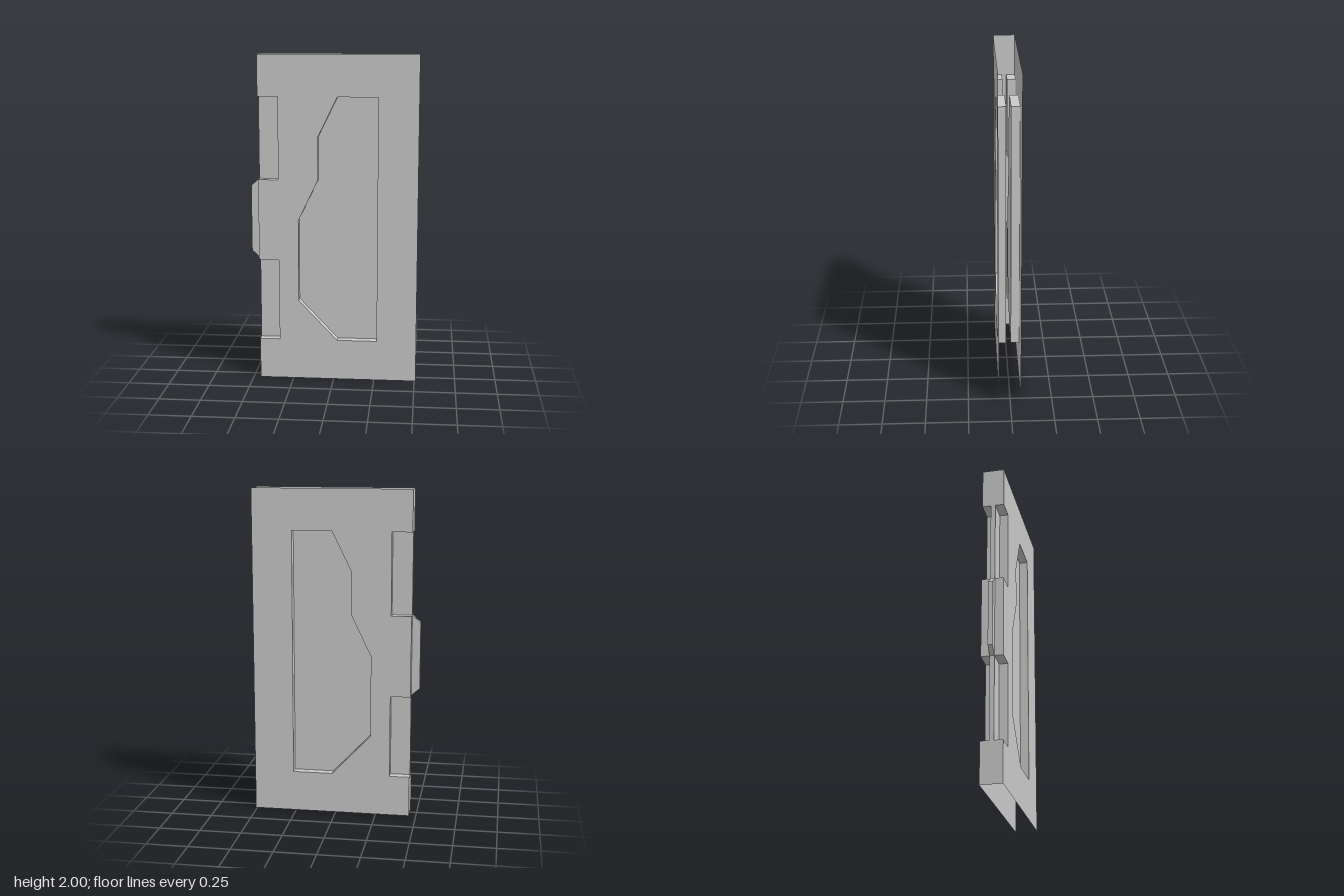
import * as THREE from 'three';

const material = new THREE.MeshStandardMaterial({ color: 0xcccccc, flatShading: true, side: THREE.DoubleSide });

const EDGE = -0.457, FAR = 0.508, TIP = -0.508; // x of the closed edge, open end and tab tip
const NOTCH = -0.335;                           // x of the notch inner wall
const OUT = 0.066, IN = 0.014;                  // z of the outer skin and of the recessed floors
const notches = [[0.25, 0.755], [1.25, 1.75]];  // y ranges of the edge notches

// Grip recess outline, counter-clockwise
const recess = [
  [0.022, 0.25], [0.265, 0.25], [0.265, 1.75], [0.022, 1.75],
  [-0.095, 1.51], [-0.095, 1.25], [-0.215, 1.0], [-0.215, 0.5],
];

const toPoints = (list) => list.map(([x, y]) => new THREE.Vector2(x, y));
const toShape = (list) => new THREE.Shape(toPoints(list));
const rect = (x0, y0, x1, y1) => [[x0, y0], [x1, y0], [x1, y1], [x0, y1]];

function addMesh(parent, name, geometry) {
  const mesh = new THREE.Mesh(geometry, material);
  mesh.name = name;
  parent.add(mesh);
  return mesh;
}

// Flat sheet at height z
function sheet(parent, name, shape, z) {
  return addMesh(parent, name, new THREE.ShapeGeometry(shape).translate(0, 0, z));
}

// Ribbon of walls along a path from z0 to z1, facing the left of the path
function walls(parent, name, path, z0, z1, closed = false) {
  const positions = [];
  const count = closed ? path.length : path.length - 1;
  for (let i = 0; i < count; i++) {
    const [ax, ay] = path[i];
    const [bx, by] = path[(i + 1) % path.length];
    positions.push(ax, ay, z0, ax, ay, z1, bx, by, z1, ax, ay, z0, bx, by, z1, bx, by, z0);
  }
  const geometry = new THREE.BufferGeometry();
  geometry.setAttribute('position', new THREE.Float32BufferAttribute(positions, 3));
  geometry.computeVertexNormals();
  return addMesh(parent, name, geometry);
}

// Tab outline, from top to bottom
const tab = [[EDGE, 1.25], [TIP, 1.205], [TIP, 0.8], [EDGE, 0.755]];

// One door face: notched skin, recess, notches and tab cheek
function createFace(name) {
  const face = new THREE.Group();
  face.name = name;

  const outline = [[EDGE, 0], [FAR, 0], [FAR, 2], [EDGE, 2]];
  for (const [y0, y1] of [...notches].reverse()) {
    outline.push([EDGE, y1], [NOTCH, y1], [NOTCH, y0], [EDGE, y0]);
  }
  const skin = toShape(outline);
  skin.holes.push(new THREE.Path(toPoints(recess)));
  sheet(face, 'skin', skin, OUT);

  sheet(face, 'recessFloor', toShape(recess), IN);
  walls(face, 'recessWalls', recess, IN, OUT, true);

  for (const [y0, y1] of notches) {
    sheet(face, 'notchFloor', toShape(rect(EDGE, y0, NOTCH, y1)), IN);
    walls(face, 'notchWalls', [[EDGE, y0], [NOTCH, y0], [NOTCH, y1], [EDGE, y1]], IN, OUT);
  }
  sheet(face, 'tabCheek', toShape(tab), IN);
  return face;
}

export function createModel() {
  const door = new THREE.Group();
  door.name = 'doorPanel';

  // Two mirrored faces; top, bottom and far end stay open
  const back = createFace('backFace');
  back.scale.z = -1;
  door.add(createFace('frontFace'), back);

  // Closed edge: wide blocks joined by thin strips, open behind the tab
  const side = [[0, 0], [OUT, 0]];
  for (const [y0, y1] of notches) side.push([OUT, y0], [IN, y0], [IN, y1], [OUT, y1]);
  side.push([OUT, 2]);
  const mirrored = side.slice(1).reverse().map(([z, y]) => [-z, y]);
  const edge = toShape([...side.slice(1), ...mirrored]);
  edge.holes.push(new THREE.Path(toPoints(rect(-IN, 0.755, IN, 1.25))));
  addMesh(door, 'edgeWall', new THREE.ShapeGeometry(edge).rotateY(-Math.PI / 2).translate(EDGE, 0, 0));

  // Chamfered rim of the tab
  walls(door, 'tabRim', [...tab].reverse(), -IN, IN);

  return door;
}
